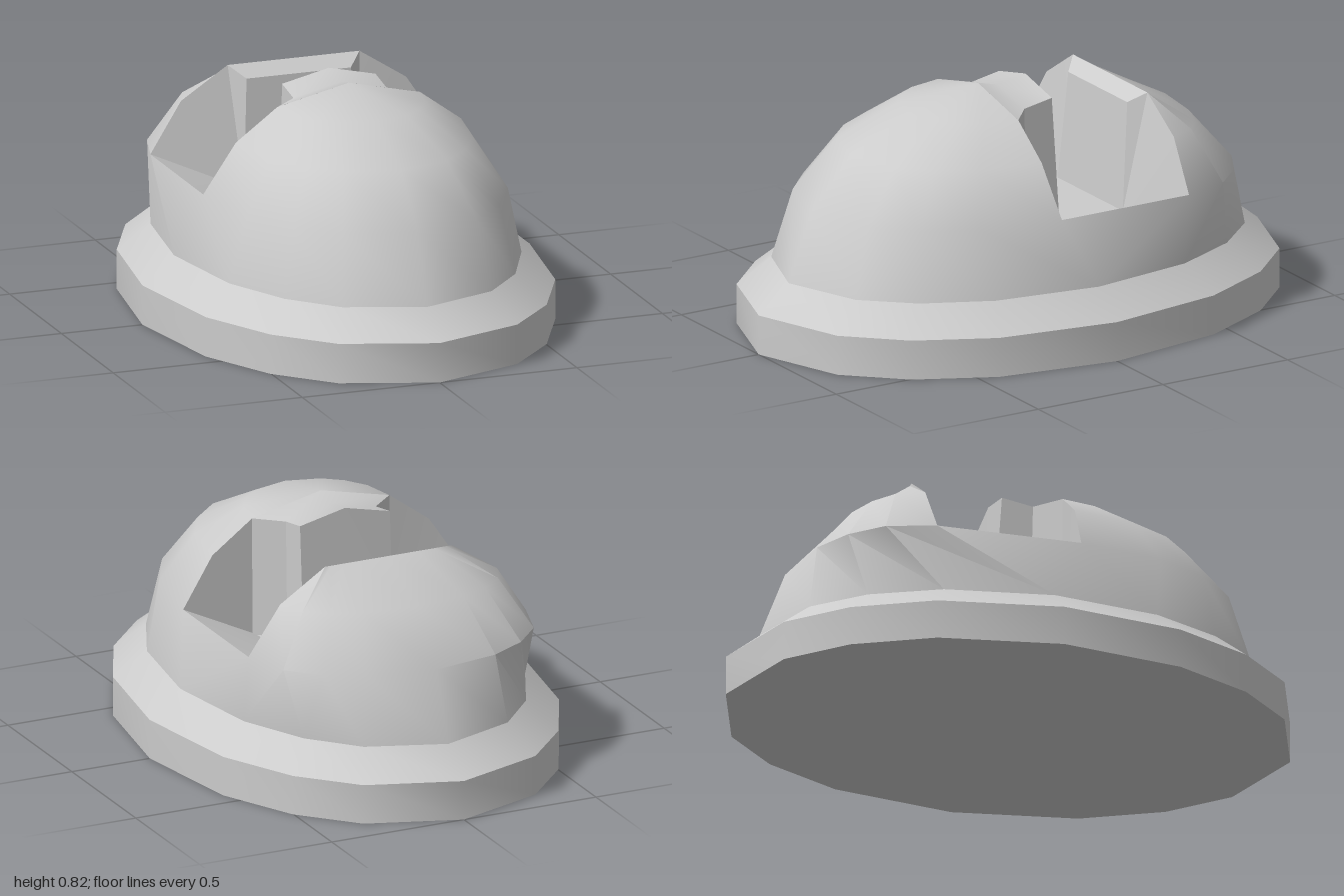
import * as THREE from 'three';
import { toCreasedNormals } from 'three/addons/utils/BufferGeometryUtils.js';

const material = new THREE.MeshStandardMaterial({ color: 0xcccccc, side: THREE.DoubleSide });
const V = (x, y, z) => new THREE.Vector3(x, y, z);

// Mesh from triangles, dropping collapsed ones
function meshOf(name, tris, crease = 0.75) {
  const pts = tris.filter(([a, b, c]) => new THREE.Triangle(a, b, c).getArea() > 1e-6).flat();
  const geometry = new THREE.BufferGeometry().setFromPoints(pts);
  const mesh = new THREE.Mesh(toCreasedNormals(geometry, crease), material);
  mesh.name = name;
  return mesh;
}

// Skin between successive cross-sections
function loft(rows) {
  const tris = [];
  for (let r = 0; r < rows.length - 1; r++) {
    for (let i = 0; i < rows[r].length - 1; i++) {
      const [a, b, c, d] = [rows[r][i], rows[r + 1][i], rows[r + 1][i + 1], rows[r][i + 1]];
      tris.push([a, b, c], [a, c, d]);
    }
  }
  return tris;
}

// Add the opposite side, keeping faces outward
const flip = (p) => V(-p.x, p.y, p.z);
const mirrored = (tris) => [...tris, ...tris.map(([a, b, c]) => [flip(a), flip(c), flip(b)])];

// Half oval; dir 1 bulges to the front, -1 to the back
const angles = [0, 25.5, 44.5, 62.5, 90, 117.5, 135.5, 154.5, 180].map(THREE.MathUtils.degToRad);
function halfOval([y, rx, rz, zc], dir) {
  return angles.map((a) => V(dir * rx * Math.cos(a), y, zc + dir * rz * Math.sin(a)));
}

export function createModel() {
  const group = new THREE.Group();

  // Oval base with a sloped shoulder and a closed underside
  const baseRings = [[0, 0, 0, 0], [0, 0.705, 1, 0], [0.14, 0.705, 1, 0], [0.235, 0.59, 0.88, 0]];
  const base = [1, -1].flatMap((dir) => loft(baseRings.map((r) => halfOval(r, dir))));
  group.add(meshOf('base', base));

  // Two half domes: height, half width, depth, cut position
  const frontRings = [[0.235, 0.59, 0.88, 0], [0.475, 0.525, 0.68, 0.11], [0.65, 0.41, 0.51, 0.12],
    [0.76, 0.26, 0.28, 0.12], [0.82, 0, 0, 0.12]];
  const backRings = [[0.235, 0.59, 0.88, 0], [0.475, 0.525, 0.39, -0.4], [0.65, 0.41, 0.22, -0.41],
    [0.76, 0.24, 0, -0.41]];
  const sideBase = V(0.59, 0.235, 0);
  const rimFront = V(0.525, 0.475, 0.11);
  const rimBack = V(0.525, 0.475, -0.4);
  const shell = [
    ...loft(frontRings.map((r) => halfOval(r, 1))),
    ...loft(backRings.map((r) => halfOval(r, -1))),
    ...mirrored([[sideBase, rimBack, rimFront]]),
  ];
  group.add(meshOf('domeShell', shell));

  // Slot floor, dipping from the outer rims to the middle
  const floorFront = V(0.25, 0.34, 0.115);
  const floorBack = V(0.21, 0.34, -0.33);
  group.add(meshOf('slotFloor', [
    ...mirrored([[rimFront, rimBack, floorBack], [rimFront, floorBack, floorFront]]),
    [floorFront, floorBack, flip(floorBack)], [floorFront, flip(floorBack), flip(floorFront)],
  ], 0.2));

  // Front wall of the slot
  const shoulder = V(0.41, 0.65, 0.12);
  const crest = V(0.26, 0.76, 0.12);
  const apex = V(0, 0.82, 0.12);
  const floorMid = V(0, 0.34, 0.115);
  group.add(meshOf('slotFrontWall', mirrored([
    [floorFront, shoulder, rimFront], [floorFront, crest, shoulder],
    [floorFront, apex, crest], [floorFront, floorMid, apex],
  ])));

  // Leaning rear wall with a bevelled centre panel
  const backShoulder = V(0.41, 0.65, -0.41);
  const backCrest = V(0.24, 0.76, -0.41);
  const bevel = V(0.19, 0.72, -0.36);
  group.add(meshOf('slotBackWall', [
    ...mirrored([
      [floorBack, rimBack, backShoulder], [floorBack, backShoulder, backCrest],
      [floorBack, backCrest, bevel],
    ]),
    ...loft([[backCrest, flip(backCrest)], [bevel, flip(bevel)], [floorBack, flip(floorBack)]]),
  ], 0.5));

  // Console jutting from the front wall: top z, bottom z, half width, ridge height
  const consoleRows = [[0.12, 0.115, 0.26, 0.82], [0.04, 0.03, 0.17, 0.8], [-0.07, -0.1, 0.17, 0.82]]
    .map(([zt, zb, w, h]) => [V(-w, 0.34, zb), V(-w, h - 0.23 * w, zt), V(0, h, zt),
      V(w, h - 0.23 * w, zt), V(w, 0.34, zb)]);
  const end = consoleRows[2];
  const consoleEnd = [1, 2, 3].map((i) => [end[0], end[i], end[i + 1]]);
  group.add(meshOf('console', [...loft(consoleRows), ...consoleEnd]));

  return group;
}
